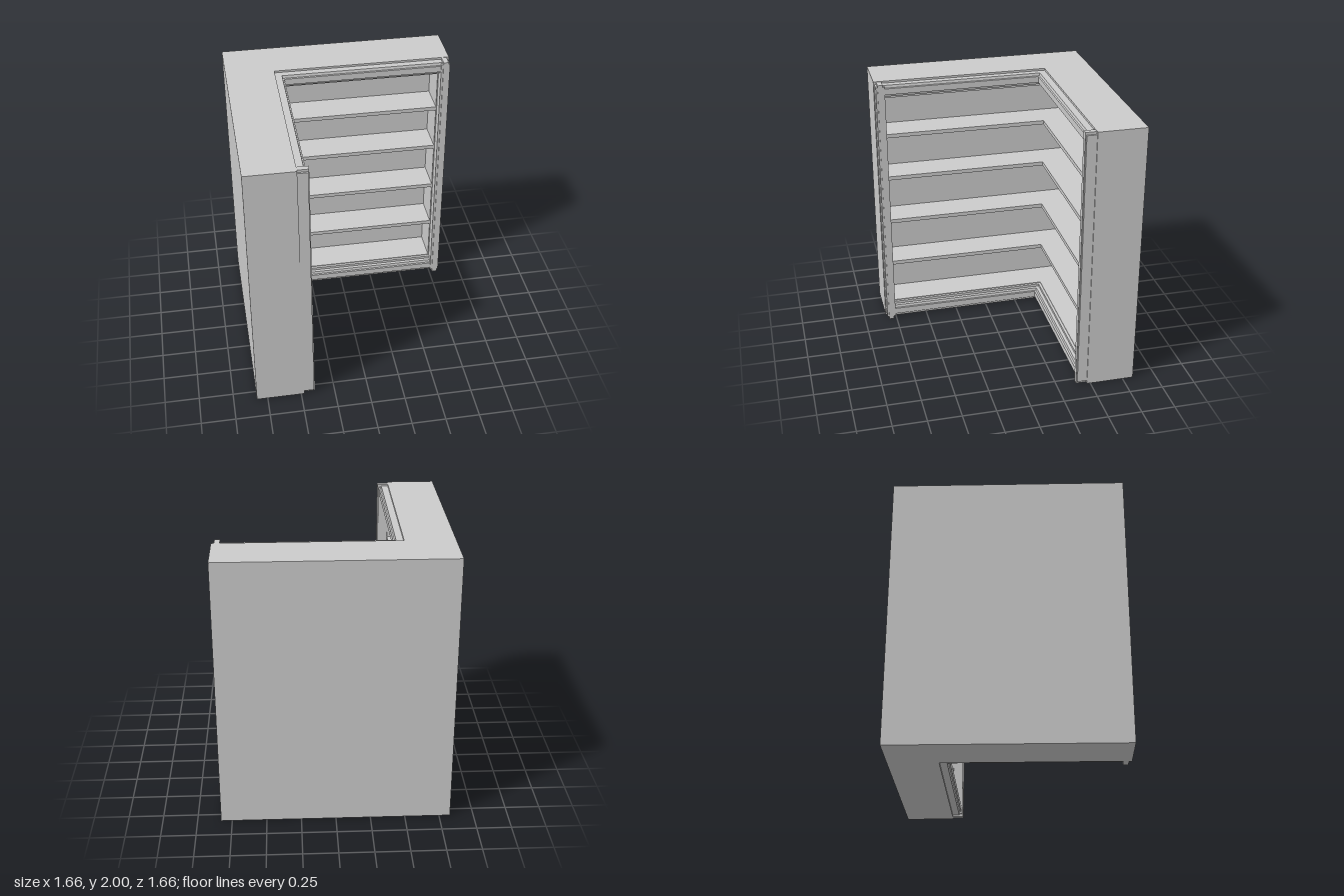
import * as THREE from 'three';

const OUT = 0.83;     // outer half width
const FACE = -0.475;  // front face of both wings
const BACK = -0.715;  // inner face of the back wall
const END = 0.75;     // inner face of the end panels

const material = new THREE.MeshStandardMaterial({ color: 0xcccccc, flatShading: true });

function add(parent, name, geometry) {
  const mesh = new THREE.Mesh(geometry, material);
  mesh.name = name;
  parent.add(mesh);
  return mesh;
}

// Sweeps a closed counter-clockwise profile [depth, y] along both wings, mitred at the corner.
function cornerSweep(profile, end) {
  const positions = [];
  const station = [
    ([d, y]) => [end, y, d],
    ([d, y]) => [d, y, d],
    ([d, y]) => [d, y, end],
  ];
  for (let s = 0; s < 2; s++) {
    profile.forEach((p, i) => {
      const q = profile[(i + 1) % profile.length];
      const a = station[s + 1](p), b = station[s](p);
      const c = station[s](q), d = station[s + 1](q);
      positions.push(...a, ...b, ...c, ...a, ...c, ...d);
    });
  }
  const g = new THREE.BufferGeometry();
  g.setAttribute('position', new THREE.Float32BufferAttribute(positions, 3));
  g.computeVertexNormals();
  return g;
}

const rect = (d0, d1, y0, y1) => [[d0, y0], [d1, y0], [d1, y1], [d0, y1]];

// Box given by its lower and upper corners; swapped mirrors it onto the other wing.
function boxBetween([x0, y0, z0], [x1, y1, z1], swapped) {
  const g = swapped
    ? new THREE.BoxGeometry(z1 - z0, y1 - y0, x1 - x0)
    : new THREE.BoxGeometry(x1 - x0, y1 - y0, z1 - z0);
  const x = (x0 + x1) / 2, y = (y0 + y1) / 2, z = (z0 + z1) / 2;
  return swapped ? g.translate(z, y, x) : g.translate(x, y, z);
}

export function createModel() {
  const model = new THREE.Group();
  model.name = 'cornerBookcase';

  // Carcass: back wall, base and top
  add(model, 'backWall', cornerSweep(rect(-OUT, BACK, 0, 2), END));
  add(model, 'base', cornerSweep(rect(BACK, FACE, 0, 0.13), END));
  add(model, 'top', cornerSweep(rect(BACK, FACE, 1.875, 2), END));

  // Shelves
  for (const y of [0.455, 0.825, 1.195, 1.545]) {
    add(model, 'shelf', cornerSweep(rect(BACK, FACE, y, y + 0.03), END));
  }

  // Stepped moulding along the top, mirrored along the bottom
  const cornice = [
    [FACE, 1.875], [-0.455, 1.875], [-0.455, 1.895], [-0.43, 1.895], [-0.425, 1.915],
    [-0.41, 1.915], [-0.41, 1.962], [-0.42, 1.965], [-0.425, 1.985], [FACE, 1.985],
  ];
  const plinth = cornice.map(([d, y]) => [d, 2 - y]).reverse();
  add(model, 'topMoulding', cornerSweep(cornice, 0.77));
  add(model, 'bottomMoulding', cornerSweep(plinth, 0.77));

  // End panel and upright trim on each wing
  for (const swapped of [false, true]) {
    const wing = new THREE.Group();
    wing.name = swapped ? 'frontEnd' : 'sideEnd';
    model.add(wing);
    add(wing, 'endPanel', boxBetween([END, 0, -OUT], [OUT, 2, FACE], swapped));
    add(wing, 'trim', boxBetween([0.757, 0.022, FACE], [0.823, 1.978, -0.402], swapped));
    add(wing, 'trimBead', boxBetween([0.772, 0.003, FACE], [0.81, 1.997, -0.395], swapped));
  }
  return model;
}
